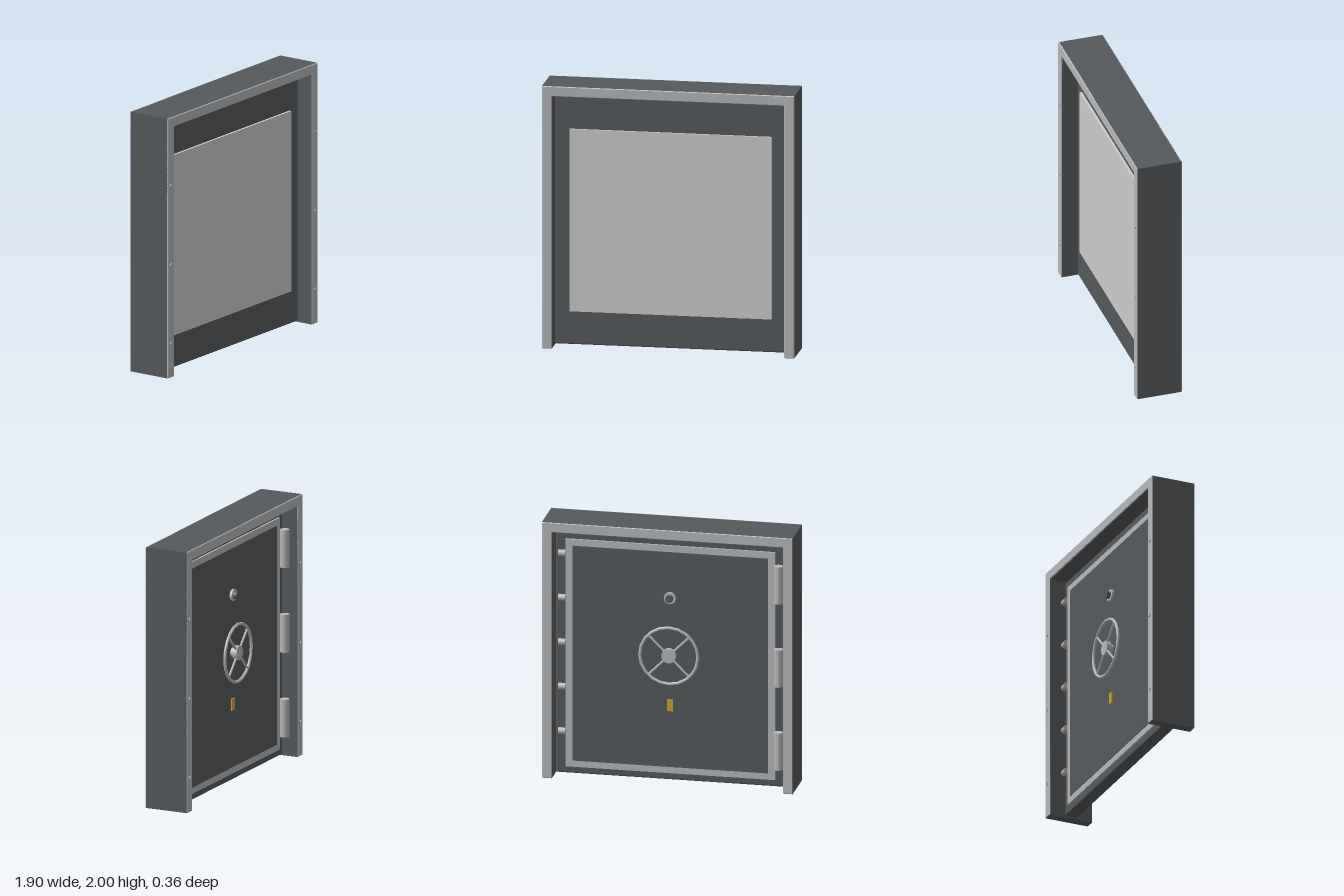
import * as THREE from 'three';
import { RoundedBoxGeometry } from 'three/addons/geometries/RoundedBoxGeometry.js';

const mat = (color) => new THREE.MeshStandardMaterial({ color });
const DARK = mat(0x55595c);
const STEEL = mat(0xb4b6b8);
const GREY = mat(0xcccccc);
const BRASS = mat(0xc9a030);

function add(parent, name, geometry, material, x = 0, y = 0, z = 0) {
  const mesh = new THREE.Mesh(geometry, material);
  mesh.name = name;
  mesh.position.set(x, y, z);
  parent.add(mesh);
  return mesh;
}

// Cylinder lying along z
const disc = (r, depth, sides = 24, rBack = r) =>
  new THREE.CylinderGeometry(r, rBack, depth, sides).rotateX(-Math.PI / 2);

// Upside-down U outline of the door frame, optionally inset for a bevel
function frameShape(inset) {
  const o = 0.95 - inset, i = 0.875 + inset;
  const points = [[-o, inset], [-i, inset], [-i, 1.925 + inset], [i, 1.925 + inset],
    [i, inset], [o, inset], [o, 2 - inset], [-o, 2 - inset]];
  return new THREE.Shape(points.map(([x, y]) => new THREE.Vector2(x, y)));
}

function buildFrame() {
  const frame = new THREE.Group();
  frame.name = 'frame';
  const body = new THREE.ExtrudeGeometry(frameShape(0), { depth: 0.34, bevelEnabled: false });
  add(frame, 'frameBody', body.translate(0, 0, -0.17), DARK);

  // Bevelled facing on both faces, with rivets down each leg
  for (const side of [1, -1]) {
    const trim = new THREE.ExtrudeGeometry(frameShape(0.004), {
      depth: 0.006, bevelThickness: 0.004, bevelSize: 0.004, bevelSegments: 1,
    });
    add(frame, 'frameTrim', trim.translate(0, 0, -0.003), STEEL, 0, 0, side * 0.168);
    for (const x of [-0.915, 0.915]) {
      for (const y of [0.265, 0.87, 1.48]) {
        add(frame, 'rivet', disc(0.012, 0.012, 12), STEEL, x, y, side * 0.176);
      }
    }
  }
  return frame;
}

function buildWheel() {
  const wheel = new THREE.Group();
  wheel.name = 'handWheel';
  add(wheel, 'wheelRim', new THREE.TorusGeometry(0.22, 0.012, 8, 20), STEEL);
  add(wheel, 'wheelHub', disc(0.055, 0.035), STEEL, 0, 0, 0.005);
  add(wheel, 'wheelShaft', disc(0.035, 0.06), STEEL, 0, 0, 0.03);
  // Two crossing bars make four diagonal spokes
  for (const angle of [Math.PI / 4, -Math.PI / 4]) {
    const spoke = add(wheel, 'spoke', new THREE.CylinderGeometry(0.009, 0.009, 0.44, 8), STEEL);
    spoke.rotation.z = angle;
  }
  return wheel;
}

function buildDoor() {
  const door = new THREE.Group();
  door.name = 'door';
  add(door, 'doorSlab', new RoundedBoxGeometry(1.74, 1.905, 0.1, 2, 0.012), DARK, 0, 0.9625, 0);
  add(door, 'innerPanel', new THREE.BoxGeometry(1.52, 1.39, 0.03), GREY, 0, 0.96, 0.053);

  // Stepped outer face
  add(door, 'doorRim', new THREE.BoxGeometry(1.59, 1.78, 0.03), STEEL, 0, 0.955, -0.05);
  add(door, 'outerPlate', new THREE.BoxGeometry(1.48, 1.68, 0.03), DARK, 0, 0.955, -0.054);

  // Hinges on one edge, locking bolts on the other
  for (let i = -1; i <= 1; i++) {
    add(door, 'hinge', new THREE.CylinderGeometry(0.035, 0.035, 0.29, 16), STEEL,
      -0.825, 0.955 + i * 0.65, -0.09);
  }
  for (let i = -2; i <= 2; i++) {
    const bolt = new THREE.CylinderGeometry(0.025, 0.025, 0.055, 16).rotateZ(Math.PI / 2);
    add(door, 'lockBolt', bolt, STEEL, 0.818, 1.04 + i * 0.348, -0.07);
  }

  const wheel = buildWheel();
  wheel.position.set(0, 1, -0.117);
  door.add(wheel);

  // Combination dial and brass plate
  add(door, 'dialBase', disc(0.045, 0.02), STEEL, 0, 1.44, -0.077);
  add(door, 'dialKnob', disc(0.028, 0.03), DARK, 0, 1.44, -0.1);
  add(door, 'brassPlate', new THREE.BoxGeometry(0.045, 0.09, 0.012), BRASS, 0, 0.6, -0.073);
  return door;
}

export function createModel() {
  const model = new THREE.Group();
  model.name = 'vaultDoor';
  model.add(buildFrame(), buildDoor());
  return model;
}
